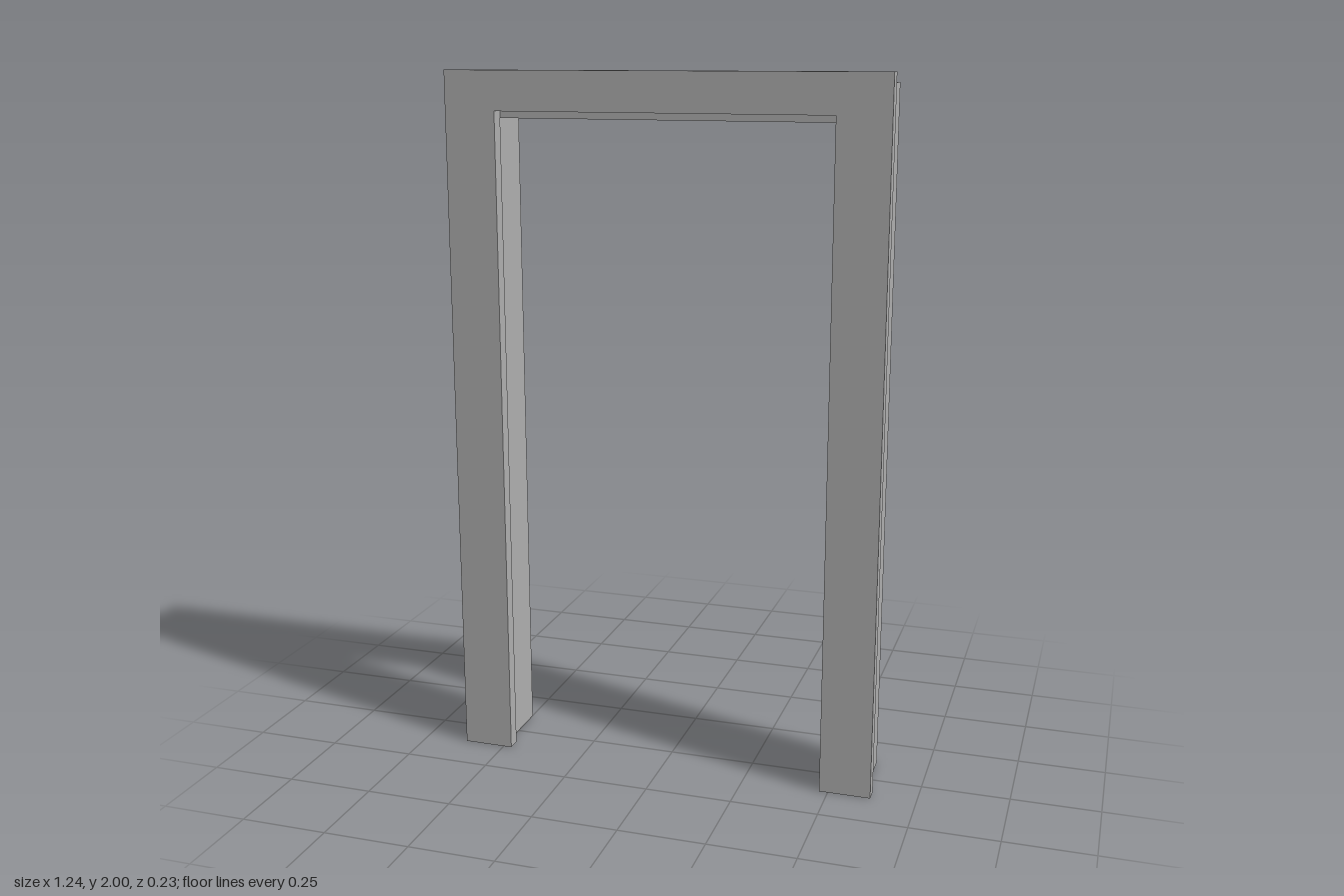
import * as THREE from 'three';

// Upside-down U profile standing on the floor, extruded from zBack to zFront
function portal(name, outer, inner, top, soffit, zBack, zFront, material) {
  const shape = new THREE.Shape([
    [-outer, 0], [-inner, 0], [-inner, soffit], [inner, soffit],
    [inner, 0], [outer, 0], [outer, top], [-outer, top],
  ].map(([x, y]) => new THREE.Vector2(x, y)));
  const geometry = new THREE.ExtrudeGeometry(shape, { depth: zFront - zBack, bevelEnabled: false });
  geometry.translate(0, 0, zBack);
  const mesh = new THREE.Mesh(geometry, material);
  mesh.name = name;
  return mesh;
}

export function createModel() {
  const group = new THREE.Group();
  group.name = 'doorFrame';
  const grey = new THREE.MeshStandardMaterial({ color: 0xb0b0b0 });
  grey.name = 'grey';

  // Deep lining of the doorway
  group.add(portal('jamb', 0.6, 0.5, 1.97, 1.87, -0.115, 0.075, grey));
  // Thin casing overlapping the lining on the front
  group.add(portal('casing', 0.622, 0.475, 2, 1.89, 0.075, 0.115, grey));
  return group;
}
